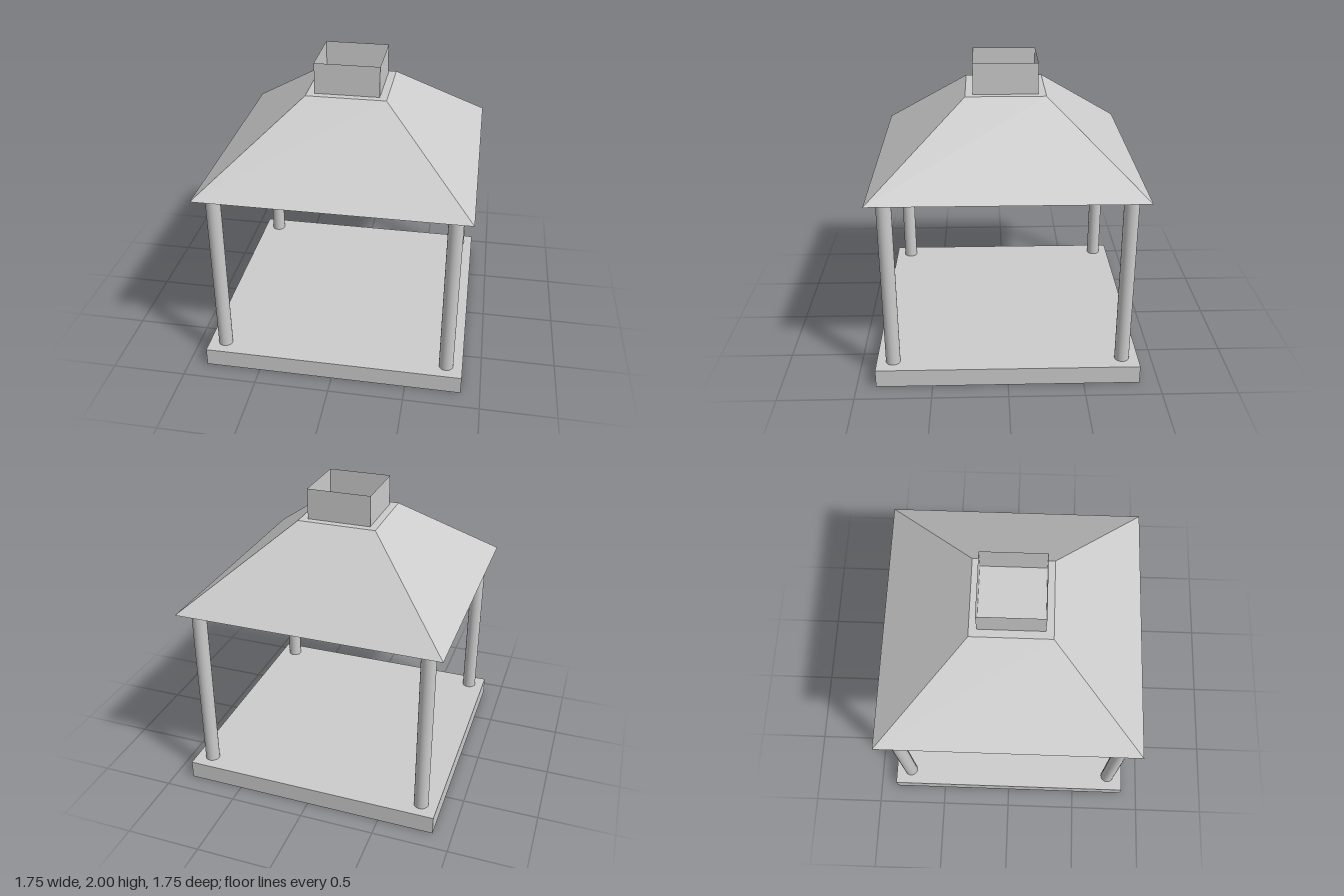
import * as THREE from 'three';

const stone = new THREE.MeshStandardMaterial({ color: 0xcccccc });
stone.name = 'light grey';
const sheet = new THREE.MeshStandardMaterial({ color: 0xcccccc, side: THREE.DoubleSide });
sheet.name = 'light grey sheet';

// Square prism or frustum with crisp faces, given half widths and heights
function squareFrustum(topHalf, bottomHalf, y0, y1, open = false) {
  const indexed = new THREE.CylinderGeometry(
    topHalf * Math.SQRT2, bottomHalf * Math.SQRT2, y1 - y0, 4, 1, open);
  indexed.rotateY(Math.PI / 4).translate(0, (y0 + y1) / 2, 0);
  const geometry = indexed.toNonIndexed();
  geometry.computeVertexNormals();
  return geometry;
}

export function createModel() {
  const model = new THREE.Group();
  model.name = 'pavilion';
  const add = (name, geometry, material = stone) => {
    const mesh = new THREE.Mesh(geometry, material);
    mesh.name = name;
    model.add(mesh);
    return mesh;
  };

  const baseTop = 0.125, eaves = 1.3, roofTop = 1.795;

  // Floor slab
  add('base', new THREE.BoxGeometry(1.745, baseTop, 1.745).translate(0, baseTop / 2, 0));

  // Round corner posts
  const postGeometry = new THREE.CylinderGeometry(0.048, 0.048, eaves - baseTop, 32);
  for (const [side, x] of [['Left', 1], ['Right', -1]]) {
    for (const [end, z] of [['front', 1], ['back', -1]]) {
      add(`${end}${side}Post`, postGeometry)
        .position.set(x * 0.763, (baseTop + eaves) / 2, z * 0.763);
    }
  }

  // Closed hipped roof with a flat top
  add('roof', squareFrustum(0.263, 0.8725, eaves, roofTop));

  // Open-topped chimney with thin walls
  add('chimney', squareFrustum(0.213, 0.213, roofTop, 2, true), sheet);

  return model;
}
